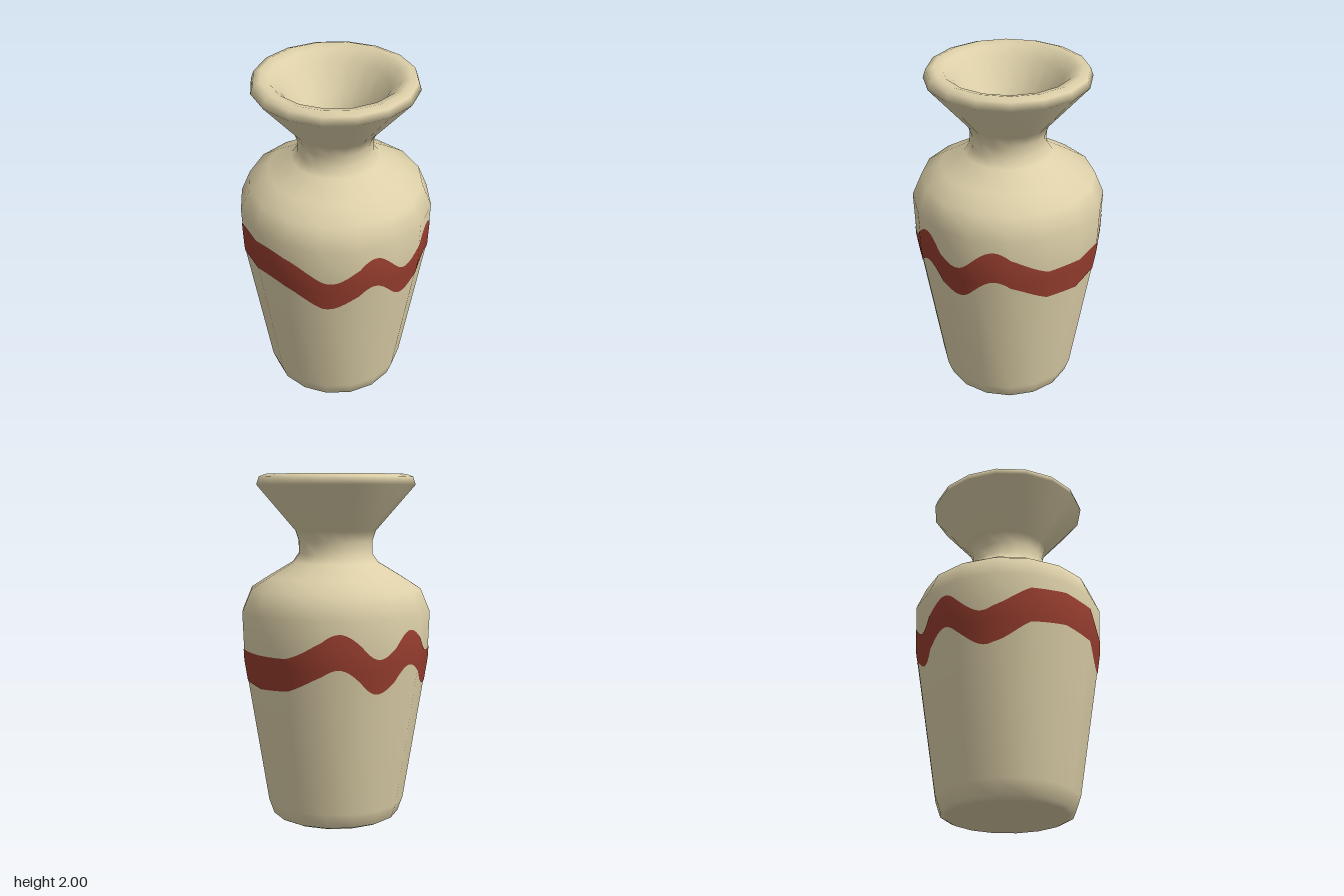
import * as THREE from 'three';

const SIDES = 16;

// Outer wall, foot to lip: [radius, height]
const OUTER = [
  [0.345, 0], [0.375, 0.015], [0.405, 0.1], [0.54, 0.95], [0.55, 1.22], [0.495, 1.35],
  [0.385, 1.42], [0.25, 1.5], [0.215, 1.55], [0.215, 1.62], [0.235, 1.68], [0.46, 1.94],
];
// Rounded lip, funnel and narrow well inside
const INNER = [
  [0.46, 1.94], [0.445, 1.985], [0.405, 2], [0.355, 1.985], [0.3, 1.93], [0.2, 1.79],
  [0.135, 1.68], [0.112, 1.6], [0.112, 1.53], [0.125, 1.47], [0.125, 1.12], [0.1, 1.07], [0, 1.06],
];

const toPoints = (list) => list.map(([r, y]) => new THREE.Vector2(r, y));

// Wall radius at a given height
function radiusAt(y) {
  for (let i = 1; i < OUTER.length; i++) {
    const [r0, y0] = OUTER[i - 1], [r1, y1] = OUTER[i];
    if (y <= y1) return r0 + ((r1 - r0) * (y - y0)) / (y1 - y0);
  }
  return OUTER[OUTER.length - 1][0];
}

// The stripe waves along z, the same on both flanks
const waveHeight = (z) => 0.979 + 0.073 * Math.cos((2 * Math.PI * (z - 0.12)) / 0.43);

// Thin wavy stripe that lies on the facets of the wall
function stripeGeometry() {
  const pos = [], nor = [], idx = [];
  const steps = 12, rows = 6, half = 0.0975, lift = 0.003;
  for (let s = 0; s < SIDES; s++) {
    const a = (s / SIDES) * 2 * Math.PI, b = ((s + 1) / SIDES) * 2 * Math.PI;
    for (let i = 0; i <= steps; i++) {
      const t = i / steps;
      const dx = Math.sin(a) * (1 - t) + Math.sin(b) * t;
      const dz = Math.cos(a) * (1 - t) + Math.cos(b) * t;
      for (let j = 0; j <= rows; j++) {
        const offset = (j / rows * 2 - 1) * half;
        let y = 1;
        for (let k = 0; k < 5; k++) y = waveHeight(dz * radiusAt(y)) + offset;
        const r = radiusAt(y) + lift;
        pos.push(dx * r, y, dz * r);
        const ny = y < 0.95 ? -0.11 : -0.1 + 1.1 * (y - 0.95);
        const n = new THREE.Vector3(dx, ny, dz).normalize();
        nor.push(n.x, n.y, n.z);
        if (i < steps && j < rows) {
          const p = (s * (steps + 1) + i) * (rows + 1) + j, q = p + rows + 1;
          idx.push(p, q, q + 1, p, q + 1, p + 1);
        }
      }
    }
  }
  const g = new THREE.BufferGeometry();
  g.setAttribute('position', new THREE.Float32BufferAttribute(pos, 3));
  g.setAttribute('normal', new THREE.Float32BufferAttribute(nor, 3));
  g.setIndex(idx);
  return g;
}

export function createModel() {
  const clay = new THREE.MeshStandardMaterial({ color: 0xdccfa8 });
  clay.name = 'clay';
  const red = new THREE.MeshStandardMaterial({ color: 0x963d2e });
  red.name = 'red glaze';

  const vase = new THREE.Group();
  vase.name = 'vase';
  const add = (name, geometry, material) => {
    const mesh = new THREE.Mesh(geometry, material);
    mesh.name = name;
    vase.add(mesh);
    return mesh;
  };

  // Clay body in one turned profile, smooth over the lip
  add('body', new THREE.LatheGeometry(toPoints([...OUTER, ...INNER.slice(1)]), SIDES), clay);

  // Flat underside
  const base = add('base', new THREE.CircleGeometry(OUTER[0][0], SIDES), clay);
  base.rotation.x = Math.PI / 2;

  // Painted stripe and the dab of glaze at the bottom of the well
  add('stripe', stripeGeometry(), red);
  const dab = add('glazeDab', new THREE.BoxGeometry(0.11, 0.008, 0.068), red);
  dab.position.set(0, 1.068, 0.057);

  return vase;
}
